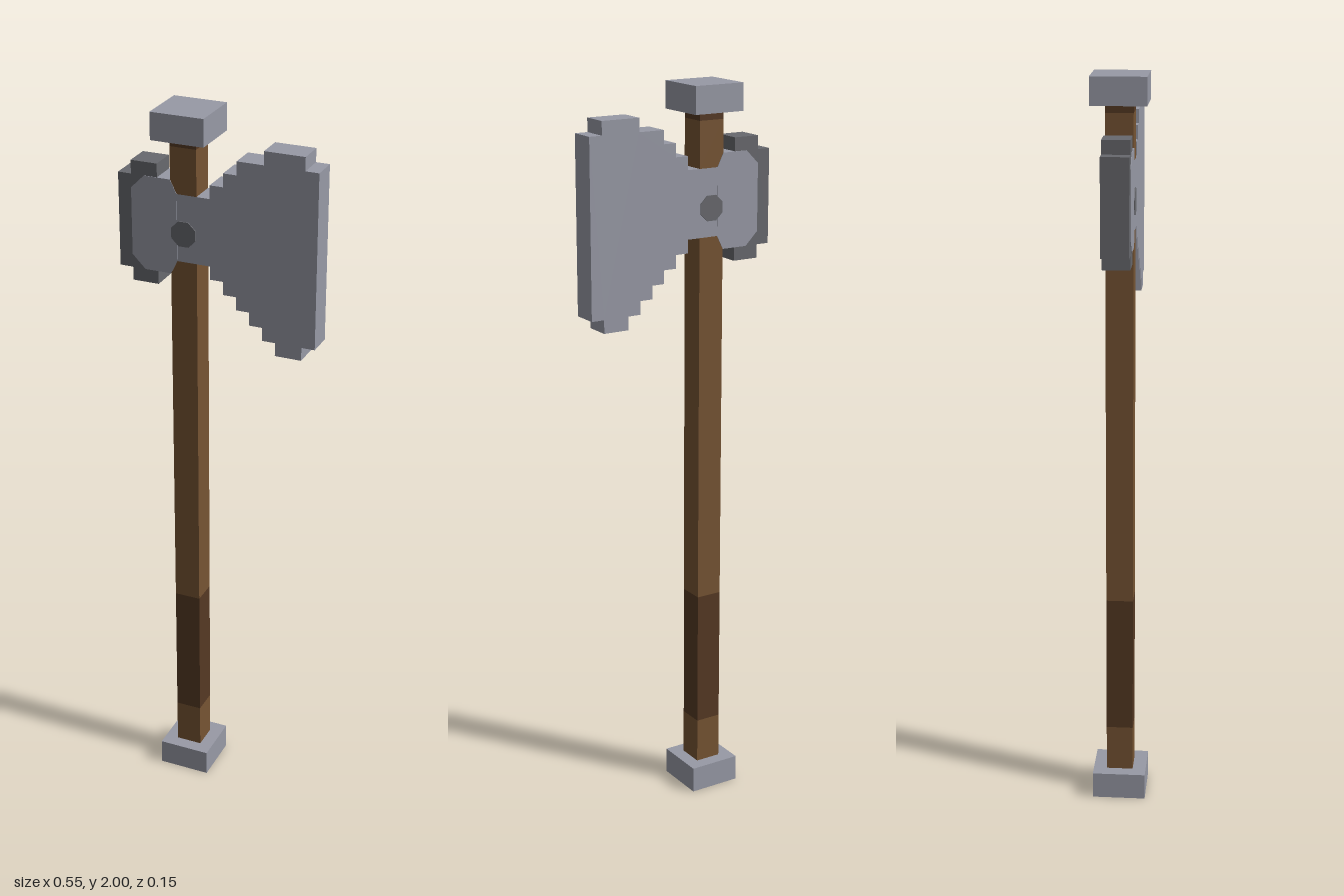
import * as THREE from 'three';

// everything sits on a grid of cells, 55 cells tall and 15 wide
const U = 2 / 55;
const X0 = -7.5;

const paint = (name, hex) => {
  const m = new THREE.MeshStandardMaterial({ color: hex });
  m.name = name;
  return m;
};

export function createModel() {
  const group = new THREE.Group();
  const steel = paint('steel', 0x989aa6);
  const darkSteel = paint('dark steel', 0x68696e);
  const wood = paint('wood', 0x765433);
  const darkWood = paint('dark wood', 0x553923);

  const add = (name, geometry, material) => {
    const mesh = new THREE.Mesh(geometry, material);
    mesh.name = name;
    group.add(mesh);
    return mesh;
  };

  // box given by its cell limits, centred on z
  const box = (name, x1, x2, y1, y2, depth, material) => {
    const g = new THREE.BoxGeometry((x2 - x1) * U, (y2 - y1) * U, depth * U);
    g.translate((X0 + (x1 + x2) / 2) * U, ((y1 + y2) / 2) * U, 0);
    return add(name, g, material);
  };

  // flat outline in cells, extruded between two z values
  const slab = (name, points, z1, z2, material) => {
    const shape = new THREE.Shape(points.map(([x, y]) => new THREE.Vector2((X0 + x) * U, y * U)));
    const g = new THREE.ExtrudeGeometry(shape, { depth: (z2 - z1) * U, bevelEnabled: false });
    g.translate(0, 0, z1 * U);
    return add(name, g, material);
  };

  // shaft, from the foot to the top
  box('lowerCap', 3, 7, 0, 2, 4, steel);
  box('shaftFoot', 4, 6, 2, 5.5, 2, wood);
  box('grip', 4, 6, 5.5, 16, 2, darkWood);
  box('shaft', 4, 6, 16, 44, 2, wood);
  box('shaftTop', 4, 6, 49, 52.4, 2, wood);
  box('shaftCollar', 4, 6, 52.4, 53, 2, darkWood);
  box('upperCap', 3, 7, 53, 55, 4, steel);

  // stepped blade, running through the shaft
  const blade = [
    [4, 44], [7, 44], [7, 43], [8, 43], [8, 42], [9, 42], [9, 41], [10, 41], [10, 40], [11, 40],
    [11, 39], [12, 39], [12, 38], [14, 38], [14, 39], [15, 39],
    [15, 52], [14, 52], [14, 53], [11, 53], [11, 52], [9, 52], [9, 51], [8, 51], [8, 50],
    [7, 50], [7, 49], [4, 49],
  ];
  slab('blade', blade, -1, 1, steel);

  // back of the head
  box('headBack', 3, 4, 43, 50, 2, steel);
  slab('poll', [[0, 43], [1, 43], [1, 42], [3, 42], [3, 51], [1, 51], [1, 50], [0, 50]], -1, 1, darkSteel);

  // cheek plates and rivets on both faces
  const cheek = [
    [1, 44], [2, 43], [4, 43], [4.5, 44], [4.5, 49], [4, 50], [2, 50], [1, 49],
  ];
  const rivet = [];
  for (let i = 0; i < 8; i++) {
    const a = ((i + 0.5) * Math.PI) / 4;
    rivet.push([5 + Math.cos(a), 46.1 + Math.sin(a)]);
  }
  for (const [side, s] of [['front', 1], ['back', -1]]) {
    const layer = (name, points, t, material) =>
      slab(side + name, points, s > 0 ? 0.98 : -1 - t, s > 0 ? 1 + t : -0.98, material);
    layer('Cheek', cheek, 0.04, steel);
    layer('Rivet', rivet, 0.08, darkSteel);
  }
  return group;
}
